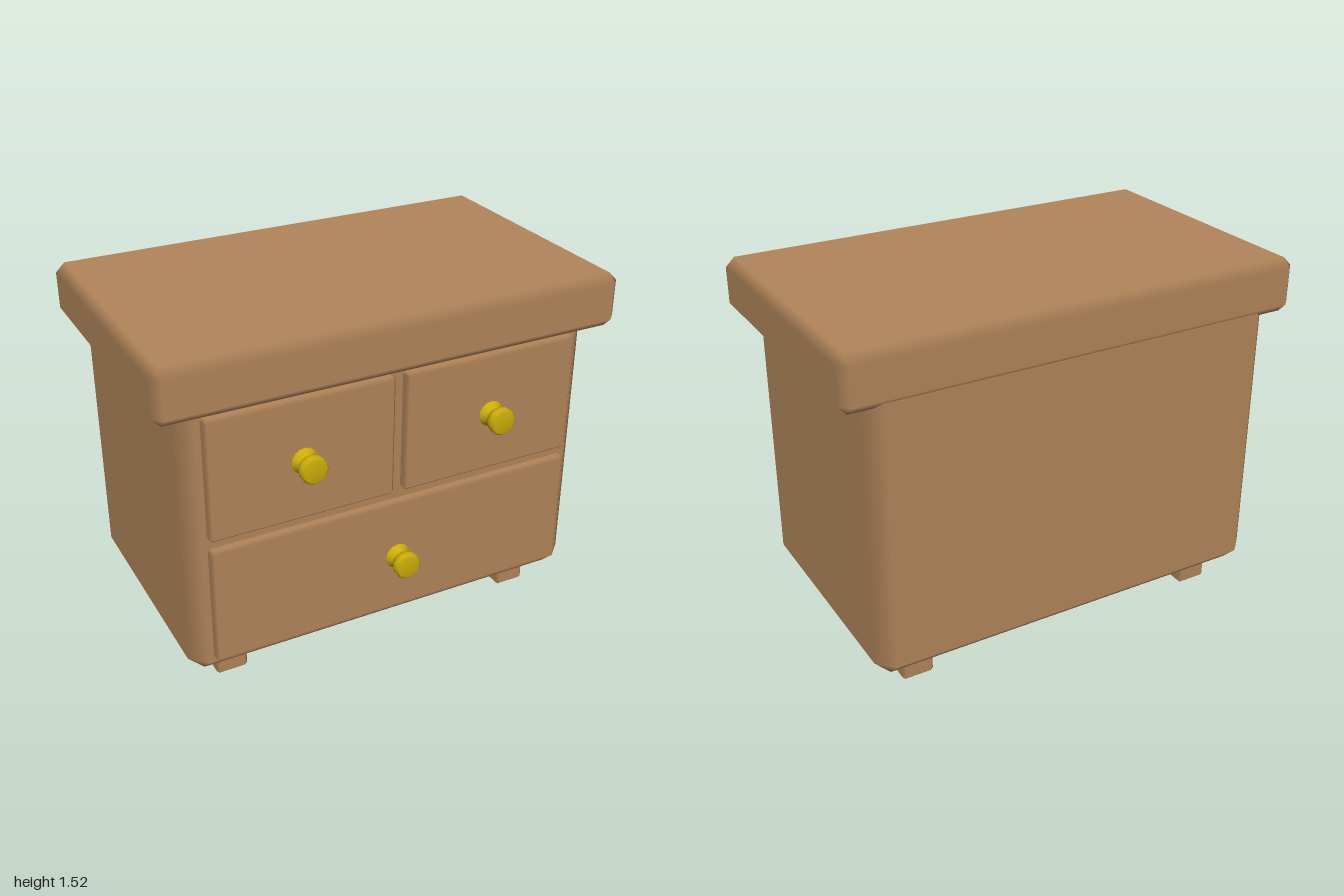
import * as THREE from 'three';
import { ConvexGeometry } from 'three/addons/geometries/ConvexGeometry.js';

const wood = new THREE.MeshStandardMaterial({ name: 'wood', color: 0xb1855a });
const brass = new THREE.MeshStandardMaterial({ name: 'brass', color: 0xcbac08 });

// Bevelled box between two corners; broad faces stay flat, bevels shade smoothly
function bevelBox(name, min, max, bevel) {
  const half = max.map((v, i) => (v - min[i]) / 2);
  const points = [];
  for (let axis = 0; axis < 3; axis++)
    for (const a of [-1, 1]) for (const b of [-1, 1]) for (const c of [-1, 1]) {
      const signs = [a, b, c];
      points.push(new THREE.Vector3(...half.map((h, i) => signs[i] * (i === axis ? h : h - bevel))));
    }
  const geometry = new ConvexGeometry(points);
  const pos = geometry.attributes.position;
  const normal = geometry.attributes.normal;
  for (let i = 0; i < pos.count; i++) {
    const p = [pos.getX(i), pos.getY(i), pos.getZ(i)];
    normal.setXYZ(i, ...p.map((v, k) => (Math.abs(v) > half[k] - bevel / 2 ? Math.sign(v) : 0)));
  }
  const mesh = new THREE.Mesh(geometry, wood);
  mesh.name = name;
  mesh.position.set(...min.map((v, i) => v + half[i]));
  return mesh;
}

// Turned knob profile: radius, distance out from the drawer face
const knobProfile = [
  [0, -0.01], [0.055, -0.01], [0.055, 0.008], [0.036, 0.026], [0.036, 0.036],
  [0.043, 0.056], [0.055, 0.062], [0.057, 0.068], [0.057, 0.09], [0.047, 0.1], [0, 0.1],
].map(([r, h]) => new THREE.Vector2(r, h));
const knobGeometry = new THREE.LatheGeometry(knobProfile, 16).rotateX(Math.PI / 2);

function knob(name, x, y) {
  const mesh = new THREE.Mesh(knobGeometry, brass);
  mesh.name = name;
  mesh.position.set(x, y, 0.533);
  return mesh;
}

export function createModel() {
  const model = new THREE.Group();
  model.name = 'nightstand';

  // Carcass and overhanging top
  model.add(bevelBox('body', [-0.9, 0.108, -0.62], [0.9, 1.37, 0.5], 0.068));
  model.add(bevelBox('top', [-1, 1.292, -0.632], [1, 1.522, 0.557], 0.038));

  // Two small upper drawers and a wide lower one
  model.add(bevelBox('upperRightDrawer', [-0.812, 0.76, 0.44], [-0.023, 1.28, 0.535], 0.012));
  model.add(bevelBox('upperLeftDrawer', [0.023, 0.76, 0.44], [0.812, 1.28, 0.535], 0.012));
  model.add(bevelBox('lowerDrawer', [-0.812, 0.197, 0.44], [0.812, 0.716, 0.535], 0.012));

  // Knobs
  model.add(knob('upperRightKnob', -0.417, 1.02));
  model.add(knob('upperLeftKnob', 0.417, 1.02));
  model.add(knob('lowerKnob', 0, 0.457));

  // Feet
  for (const x of [-0.69, 0.69])
    for (const z of [-0.44, 0.316]) {
      const name = (z > 0 ? 'front' : 'back') + (x > 0 ? 'Left' : 'Right') + 'Foot';
      model.add(bevelBox(name, [x - 0.068, 0, z - 0.068], [x + 0.068, 0.16, z + 0.068], 0.012));
    }
  return model;
}
